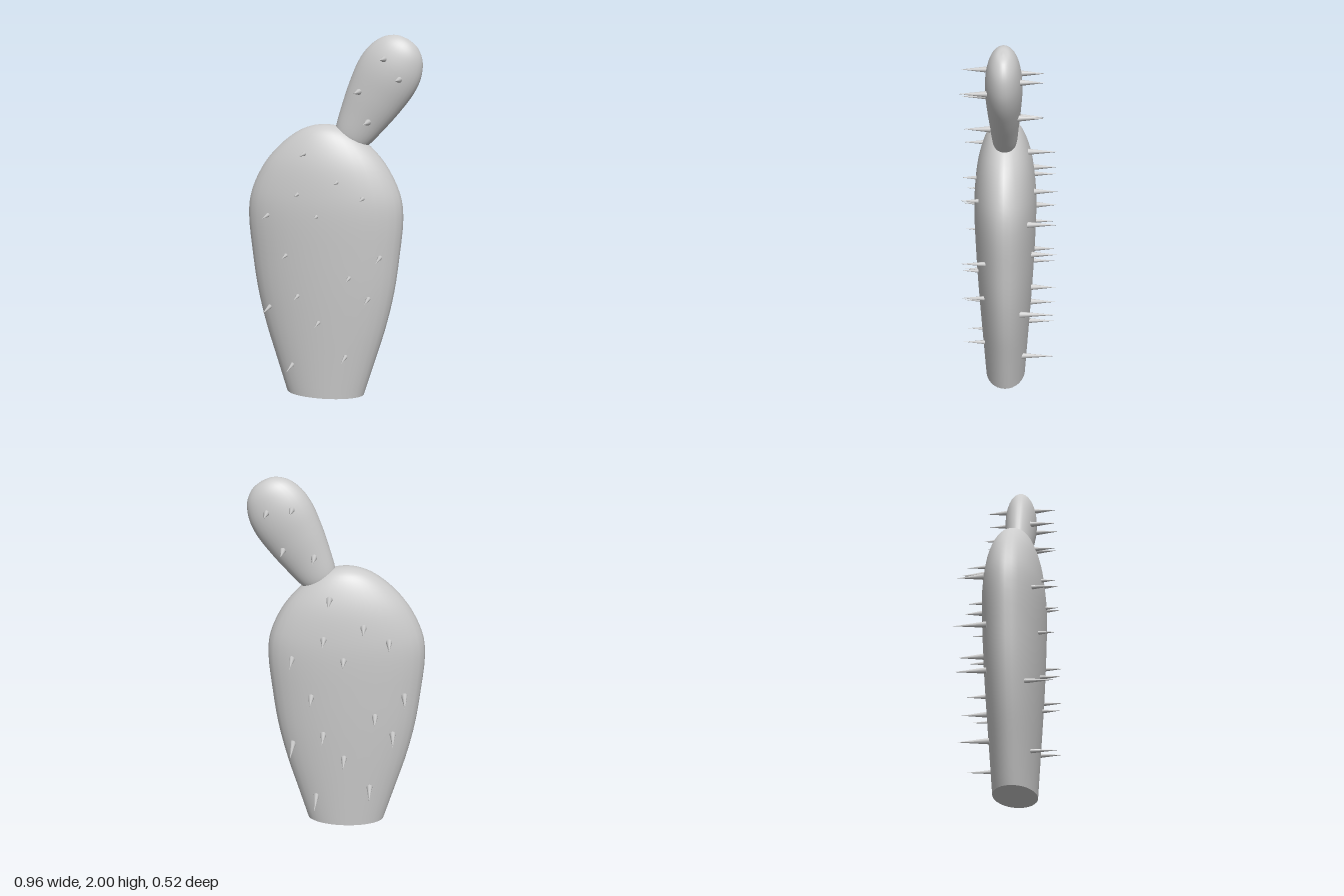
import * as THREE from 'three';
import { mergeVertices } from 'three/addons/utils/BufferGeometryUtils.js';

const material = new THREE.MeshStandardMaterial({ color: 0xcccccc });

// Rounded pad from [half width, height, half depth] sections, with a flat base
function makePad(name, sections) {
  const curve = new THREE.CatmullRomCurve3(sections.map((s) => new THREE.Vector3(...s)));
  const rings = curve.getPoints(40);
  rings[rings.length - 1].x = 0;
  const steps = 32;
  let geo = new THREE.LatheGeometry(rings.map((p) => new THREE.Vector2(Math.max(p.x, 0), p.y)), steps);
  // Flatten each ring to its own depth
  const pos = geo.attributes.position;
  for (let i = 0; i < pos.count; i++) {
    const ring = rings[i % rings.length];
    if (ring.x > 0) pos.setZ(i, pos.getZ(i) * ring.z / ring.x);
  }
  geo.deleteAttribute('uv');
  geo.deleteAttribute('normal');
  geo = mergeVertices(geo, 1e-5);
  geo.computeVertexNormals();

  const pad = new THREE.Group();
  pad.name = name;
  const skin = new THREE.Mesh(geo, material);
  skin.name = name + 'Skin';
  const base = new THREE.Mesh(new THREE.CircleGeometry(1, steps), material);
  base.name = name + 'Base';
  base.rotation.x = Math.PI / 2;
  base.position.y = sections[0][1];
  base.scale.set(sections[0][0], sections[0][2], 1);
  pad.add(skin, base);
  return pad;
}

// Cone along z from its root to its tip
function makeSpine(x, y, root, tip, radius) {
  const length = Math.abs(tip - root);
  const spine = new THREE.Mesh(new THREE.ConeGeometry(radius, length, 10), material);
  spine.name = 'spine';
  spine.rotation.x = Math.sign(tip - root) * Math.PI / 2;
  spine.position.set(x, y, (root + tip) / 2);
  return spine;
}

export function createModel() {
  const model = new THREE.Group();
  model.name = 'cactus';

  // Large lower pad
  const lower = makePad('lowerPad', [
    [0.222, 0, 0.114], [0.283, 0.2, 0.128], [0.343, 0.4, 0.142], [0.388, 0.6, 0.155],
    [0.415, 0.8, 0.165], [0.434, 1.03, 0.172], [0.417, 1.15, 0.168], [0.345, 1.3, 0.15],
    [0.25, 1.41, 0.12], [0.15, 1.485, 0.083], [0.07, 1.517, 0.043], [0, 1.526, 0],
  ]);
  lower.position.set(-0.043, 0, 0.024);
  model.add(lower);

  // Small upper pad leaning to the left
  const upper = makePad('upperPad', [
    [0.09, -0.03, 0.06], [0.104, 0, 0.066], [0.132, 0.11, 0.076], [0.157, 0.232, 0.087],
    [0.172, 0.36, 0.094], [0.162, 0.45, 0.088], [0.125, 0.528, 0.069],
    [0.065, 0.575, 0.037], [0, 0.588, 0],
  ]);
  upper.position.set(0.11, 1.47, 0.023);
  upper.rotation.z = -Math.PI / 6;
  model.add(upper);

  // Lower spines as [x, y, root depth], repeated by a half turn for the back
  const lowerSpines = new THREE.Group();
  lowerSpines.name = 'lowerSpines';
  const spots = [
    [-0.13, 1.375, 0.1], [-0.16, 1.16, 0.13], [0.053, 1.23, 0.13], [0.19, 1.145, 0.115],
    [-0.335, 1.035, 0.095], [-0.053, 1.045, 0.145], [-0.23, 0.82, 0.12], [0.28, 0.82, 0.085],
    [0.12, 0.71, 0.12], [-0.165, 0.595, 0.12], [0.22, 0.59, 0.09], [-0.34, 0.51, 0.06],
    [-0.05, 0.45, 0.12], [0.095, 0.255, 0.09], [-0.21, 0.185, 0.06],
  ];
  for (const [x, y, root] of spots) {
    lowerSpines.add(makeSpine(x, y, root, 0.262, 0.017));
    lowerSpines.add(makeSpine(-0.086 - x, y, -root, -0.262, 0.017));
  }
  model.add(lowerSpines);

  // Upper spines, set in the leaning pad's own frame
  for (const [s, t, tip] of [[-0.047, 0.441, 0.215], [0.075, 0.39, 0.225], [-0.078, 0.226, 0.225], [0.045, 0.112, 0.215]]) {
    upper.add(makeSpine(s, t, 0.07, tip, 0.017));
    upper.add(makeSpine(-s, t, -0.07, -0.208, 0.017));
  }
  return model;
}
